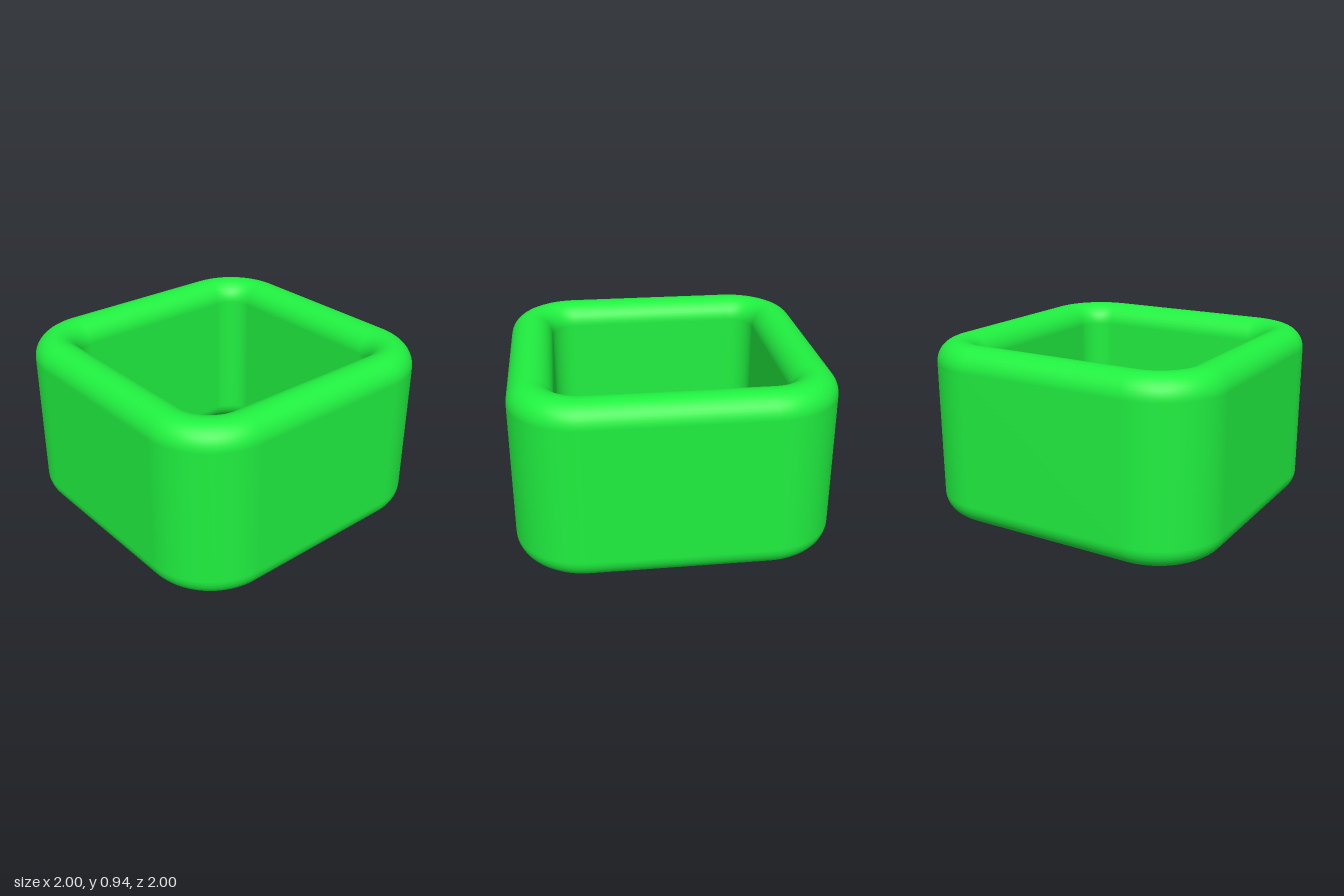
import * as THREE from 'three';

const HEIGHT = 0.94;   // overall height
const WALL = 0.115;    // half the wall thickness, also the rim radius
const CORNER = 0.638;  // distance of each corner's arc centre from the middle
const RADIUS = 0.247;  // corner radius along the middle of the wall
const STEPS = 20;      // segments per arc

// Stadium-shaped wall section: offset across the wall, height and normal
function wallSection() {
  const section = [];
  for (const [start, y] of [[0, HEIGHT - WALL], [Math.PI, WALL]]) {
    for (let i = 0; i <= STEPS; i++) {
      const a = start + (Math.PI * i) / STEPS;
      const nr = Math.cos(a), ny = Math.sin(a);
      section.push({ r: WALL * nr, y: y + WALL * ny, nr, ny });
    }
  }
  return section;
}

// Rounded square standing on its corner: arc centre and outward direction
function squarePath() {
  const path = [];
  for (let k = 0; k < 4; k++) {
    const mid = (k * Math.PI) / 2;
    for (let i = 0; i <= STEPS; i++) {
      const a = mid + (i / STEPS - 0.5) * (Math.PI / 2);
      path.push({
        cx: CORNER * Math.cos(mid), cz: CORNER * Math.sin(mid),
        dx: Math.cos(a), dz: Math.sin(a),
      });
    }
  }
  return path;
}

// Sweep the section round the closed path with exact smooth normals
function sweepRing(path, section) {
  const positions = [], normals = [], indices = [];
  const n = path.length, m = section.length;
  path.forEach((p, i) => section.forEach((s, j) => {
    const d = RADIUS + s.r;
    positions.push(p.cx + p.dx * d, s.y, p.cz + p.dz * d);
    normals.push(p.dx * s.nr, s.ny, p.dz * s.nr);
    const i2 = (i + 1) % n, j2 = (j + 1) % m;
    const a = i * m + j, b = i * m + j2, c = i2 * m + j2, e = i2 * m + j;
    indices.push(a, b, c, a, c, e);
  }));
  const geometry = new THREE.BufferGeometry();
  geometry.setAttribute('position', new THREE.Float32BufferAttribute(positions, 3));
  geometry.setAttribute('normal', new THREE.Float32BufferAttribute(normals, 3));
  geometry.setIndex(indices);
  return geometry;
}

export function createModel() {
  const group = new THREE.Group();
  group.name = 'squareRing';
  const wall = new THREE.Mesh(
    sweepRing(squarePath(), wallSection()),
    new THREE.MeshStandardMaterial({ color: 0x20f040 })
  );
  wall.name = 'roundedWall';
  group.add(wall);
  return group;
}
